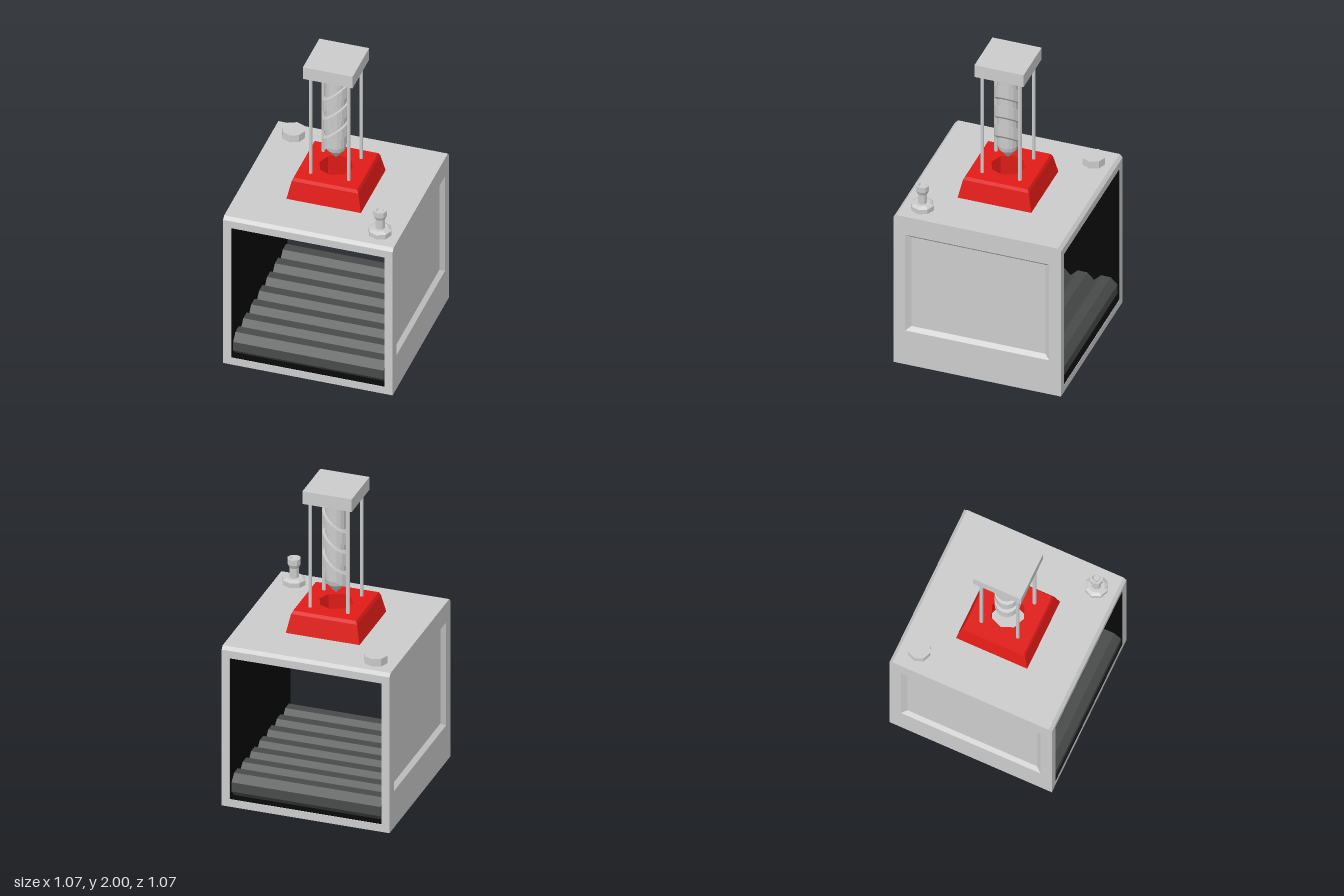
import * as THREE from 'three';

const H = 0.535;                      // half width of the housing
const V = (x, y) => new THREE.Vector2(x, y);
const mat = (color, side = THREE.FrontSide) =>
  new THREE.MeshStandardMaterial({ color, side, flatShading: true });

const grey = mat(0xcccccc), greyBoth = mat(0xcccccc, THREE.DoubleSide);
const red = mat(0xe01b17), redInside = mat(0xe01b17, THREE.BackSide);
const rubber = mat(0x484a4a), blackInside = mat(0x070707, THREE.BackSide);

function add(parent, name, geometry, material, x = 0, y = 0, z = 0) {
  const mesh = new THREE.Mesh(geometry, material);
  mesh.name = name;
  mesh.position.set(x, y, z);
  parent.add(mesh);
  return mesh;
}

const lathe = (points, sides) => new THREE.LatheGeometry(points.map(p => V(...p)), sides);

// Open four-sided tube of unit width along y, optionally tapered to its lower end
const squareTube = (height, taper = 1) =>
  new THREE.CylinderGeometry(Math.SQRT1_2, Math.SQRT1_2 * taper, height, 4, 1, true).rotateY(Math.PI / 4);

// Side silhouette from y0 to the roof, with the front and back top edges chamfered
function sideProfile(y0) {
  return new THREE.Shape([V(-H, y0), V(H, y0), V(H, 1.05), V(H - 0.02, 1.07), V(-H + 0.02, 1.07), V(-H, 1.05)]);
}

// Extrudes a side silhouette along x
const alongX = (shape, depth, x0) =>
  new THREE.ExtrudeGeometry(shape, { depth, bevelEnabled: false }).rotateY(Math.PI / 2).translate(x0, 0, 0);

function createHousing() {
  const g = new THREE.Group();
  g.name = 'housing';
  add(g, 'floor', new THREE.BoxGeometry(1.02, 0.05, 2 * H), grey, 0, 0.025);
  add(g, 'roof', alongX(sideProfile(1.0), 1.02, -0.51), grey);

  // Side walls with a sunken panel that has sloping borders
  for (const turn of [0, Math.PI]) {
    const wall = new THREE.Group();
    wall.name = turn ? 'rightWall' : 'leftWall';
    wall.rotation.y = turn;
    const shape = sideProfile(0);
    shape.holes.push(new THREE.Path([V(-0.46, 0.245), V(-0.46, 0.94), V(0.46, 0.94), V(0.46, 0.245)]));
    add(wall, 'wallFrame', alongX(shape, 0.025, 0.51), grey);
    add(wall, 'wallPanel', new THREE.BoxGeometry(0.025, 0.95, 2 * H), grey, 0.4975, 0.525);
    const slope = squareTube(0.025, 0.93).rotateZ(-Math.PI / 2).scale(1, 0.695, 0.92);
    add(wall, 'panelBorder', slope, greyBoth, 0.5225, 0.5925);
    g.add(wall);
  }

  // Dark lining of the tunnel
  const lining = squareTube(1).rotateX(Math.PI / 2).scale(0.966, 0.946, 2 * H - 0.002);
  add(g, 'tunnelLining', lining, blackInside, 0, 0.525);
  return g;
}

function createRollers() {
  const g = new THREE.Group();
  g.name = 'conveyor';
  const r = 0.075 / Math.cos(Math.PI / 8);
  const roller = new THREE.CylinderGeometry(r, r, 0.95, 8).rotateY(Math.PI / 8).rotateZ(Math.PI / 2);
  for (let i = 0; i < 7; i++) add(g, 'roller', roller, rubber, 0, 0.13, -0.45 + i * 0.15);
  return g;
}

function createCollar() {
  const g = new THREE.Group();
  g.name = 'drillCollar';
  const d = Math.SQRT2;
  const skirt = lathe([[0.235 * d, 1.07], [0.21 * d, 1.19], [0.2 * d, 1.21]], 4).rotateY(Math.PI / 4);
  add(g, 'collarSkirt', skirt, red);
  // Top face with an octagonal opening
  const top = new THREE.Shape([V(-0.2, -0.2), V(0.2, -0.2), V(0.2, 0.2), V(-0.2, 0.2)]);
  const opening = [];
  for (let i = 0; i < 8; i++) {
    const a = -i * Math.PI / 4;
    opening.push(V(0.105 * Math.cos(a), 0.105 * Math.sin(a)));
  }
  top.holes.push(new THREE.Path(opening));
  add(g, 'collarTop', new THREE.ShapeGeometry(top).rotateX(-Math.PI / 2), red, 0, 1.21);
  add(g, 'collarBore', new THREE.CylinderGeometry(0.105, 0.105, 0.14, 8, 1, true), redInside, 0, 1.14);
  return g;
}

function createDrill() {
  const g = new THREE.Group();
  g.name = 'drill';
  add(g, 'headPlate', new THREE.BoxGeometry(0.314, 0.085, 0.314), grey, 0, 1.9575);
  const rod = new THREE.CylinderGeometry(0.012, 0.012, 0.72, 8);
  for (const x of [-0.12, 0.12])
    for (const z of [-0.12, 0.12]) add(g, 'guideRod', rod, grey, x, 1.56, z);

  // Shank with a pointed tip and a flange under the plate
  add(g, 'drillCore', lathe([[0, 1.27], [0.058, 1.34], [0.065, 1.37], [0.065, 1.88],
    [0.08, 1.89], [0.08, 1.92]], 16), grey);

  // Slanted cutting ridges
  const ridge = lathe([[0.06, -0.05], [0.082, -0.04], [0.082, 0.04], [0.06, 0.05]], 16);
  const p = ridge.attributes.position;
  for (let i = 0; i < p.count; i++) p.setY(i, p.getY(i) + 0.85 * p.getX(i));
  ridge.computeVertexNormals();
  for (const y of [1.72, 1.58, 1.44]) add(g, 'cuttingRidge', ridge, grey, 0, y);
  return g;
}

export function createModel() {
  const model = new THREE.Group();
  model.name = 'drillPress';
  model.add(createHousing(), createRollers(), createCollar(), createDrill());

  // Roof fittings: a plain cap and a valve with a stem
  add(model, 'roofCap', new THREE.CylinderGeometry(0.073, 0.073, 0.05, 8), grey, -0.4, 1.095, -0.4);
  const valve = lathe([[0.073, 0], [0.073, 0.032], [0.052, 0.045], [0.03, 0.045], [0.03, 0.11],
    [0.042, 0.135], [0.042, 0.17], [0.025, 0.17], [0.02, 0.16], [0, 0.16]], 8);
  add(model, 'roofValve', valve, grey, 0.41, 1.07, 0.395);
  return model;
}
